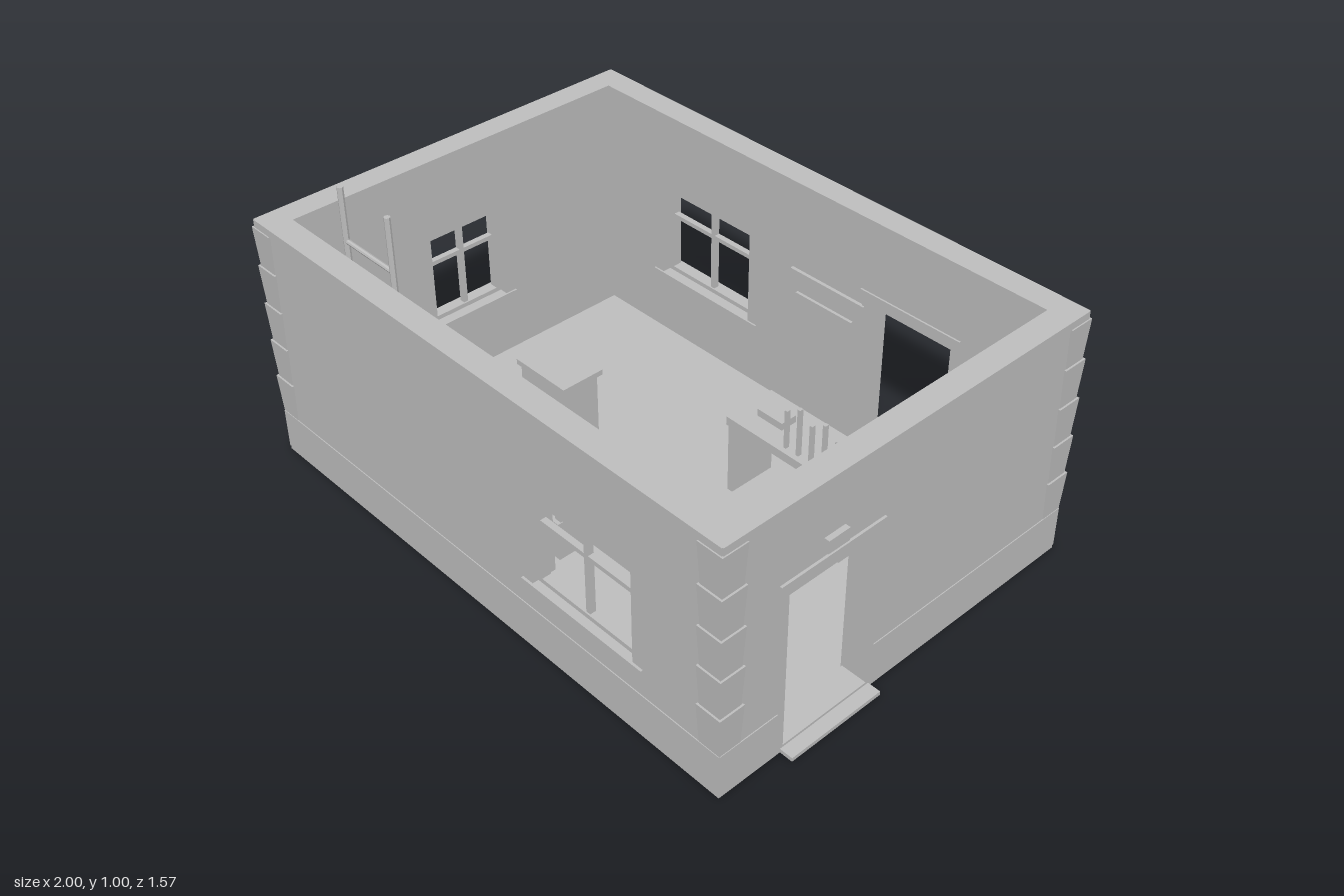
import * as THREE from 'three';

const grey = new THREE.MeshStandardMaterial({ color: 0xbfbfbf, flatShading: true });
grey.name = 'plain grey';

// Outer faces and wall sizes
const L = -0.99, R = 0.95, B = -0.60, F = 0.775, H = 0.85, T = 0.08;

function mesh(parent, name, geometry) {
  const m = new THREE.Mesh(geometry, grey);
  m.name = name;
  parent.add(m);
  return m;
}

// Box given by its two limits on each axis
function box(parent, name, x0, x1, y0, y1, z0, z1) {
  const m = mesh(parent, name, new THREE.BoxGeometry(x1 - x0, y1 - y0, z1 - z0));
  m.position.set((x0 + x1) / 2, (y0 + y1) / 2, (z0 + z1) / 2);
  return m;
}

// Square bar between two points
function bar(parent, name, a, b, t) {
  const p = new THREE.Vector3(...a), q = new THREE.Vector3(...b);
  const m = mesh(parent, name, new THREE.BoxGeometry(t, t, p.distanceTo(q)));
  m.position.copy(p).add(q).multiplyScalar(0.5);
  m.lookAt(q);
  return m;
}

// Wall panel in the XY plane with rectangular openings [u0, u1, v0, v1]
function wallGeometry(u0, u1, openings) {
  const s = new THREE.Shape();
  s.moveTo(u0, 0).lineTo(u1, 0).lineTo(u1, H).lineTo(u0, H).closePath();
  for (const [a, b, c, d] of openings) {
    const h = new THREE.Path();
    h.moveTo(a, c).lineTo(a, d).lineTo(b, d).lineTo(b, c).closePath();
    s.holes.push(h);
  }
  return new THREE.ExtrudeGeometry(s, { depth: T, bevelEnabled: false });
}

// Window: frame, cross bars and sills; local +z points out of the wall
function makeWindow(name, width) {
  const g = new THREE.Group(), w = width / 2, t = 0.017;
  g.name = name;
  box(g, 'frameSideA', -w, -w + t, 0.25, 0.575, -0.05, -0.02);
  box(g, 'frameSideB', w - t, w, 0.25, 0.575, -0.05, -0.02);
  box(g, 'frameTop', -w, w, 0.56, 0.575, -0.05, -0.02);
  box(g, 'frameBottom', -w, w, 0.25, 0.265, -0.05, -0.02);
  box(g, 'mullion', -0.008, 0.008, 0.25, 0.575, -0.045, -0.025);
  box(g, 'transom', -w, w, 0.455, 0.47, -0.045, -0.025);
  box(g, 'outerSill', -w - 0.04, w + 0.04, 0.225, 0.25, -0.02, 0.008);
  box(g, 'innerSill', -w - 0.04, w + 0.04, 0.225, 0.25, -T - 0.006, -0.05);
  return g;
}

// Doorway: jambs, header, threshold, step and a lamp above
function makeDoorway(name, stepDepth) {
  const g = new THREE.Group();
  g.name = name;
  for (const s of [-1, 1]) {
    const j = box(g, 'jamb', -0.01, 0.01, 0.025, 0.57, -T - 0.005, 0.006);
    j.position.x = s * 0.17;
  }
  box(g, 'header', -0.19, 0.19, 0.565, 0.605, -T - 0.006, 0.008);
  box(g, 'threshold', -0.17, 0.17, 0.02, 0.032, -T, 0.006);
  box(g, 'step', -0.17, 0.17, 0.011, 0.024, -0.02, stepDepth);
  box(g, 'lamp', -0.038, 0.038, 0.625, 0.667, 0, 0.017);
  return g;
}

function place(parent, g, x, z, turn) {
  g.position.set(x, 0, z);
  g.rotation.y = turn;
  parent.add(g);
}

export function createModel() {
  const model = new THREE.Group();
  model.name = 'openRoofBuilding';

  // Floor and the four walls with openings
  box(model, 'floor', L + 0.01, R - 0.01, 0, 0.025, B + 0.01, F - 0.01);
  mesh(model, 'frontWall', wallGeometry(L, R, [[0.23, 0.63, 0.25, 0.575]])).position.z = F - T;
  mesh(model, 'backWall', wallGeometry(L, R,
    [[-0.65, -0.25, 0.25, 0.575], [0.24, 0.58, 0.02, 0.57]])).position.z = B;
  const right = mesh(model, 'rightWall', wallGeometry(B + T, F - T, [[0.22, 0.56, 0.02, 0.57]]));
  const left = mesh(model, 'leftWall', wallGeometry(B + T, F - T, [[-0.05, 0.23, 0.25, 0.575]]));
  right.rotation.y = left.rotation.y = -Math.PI / 2;
  right.position.x = R;
  left.position.x = L + T;

  // Plinth strips, left open at the doorways
  const e = 0.003;
  box(model, 'plinthFront', L, R, 0.015, 0.155, F, F + e);
  box(model, 'plinthBackA', L, 0.24, 0.015, 0.155, B - e, B);
  box(model, 'plinthBackB', 0.58, R, 0.015, 0.155, B - e, B);
  box(model, 'plinthLeft', L - e, L, 0.015, 0.155, B, F);
  box(model, 'plinthRightA', R, R + e, 0.015, 0.155, B, 0.22);
  box(model, 'plinthRightB', R, R + e, 0.015, 0.155, 0.56, F);

  // Coping strips around the wall tops
  box(model, 'copingFront', L, R, 0.82, H, F, F + e);
  box(model, 'copingBack', L, R, 0.82, H, B - e, B);
  box(model, 'copingLeft', L - e, L, 0.82, H, B, F);
  box(model, 'copingRight', R, R + e, 0.82, H, B, F);

  // Flared corner stones
  for (const x of [L + 0.036, R - 0.036]) {
    for (const z of [B + 0.036, F - 0.036]) {
      for (let i = 0; i < 5; i++) {
        const q = mesh(model, 'cornerStone', new THREE.CylinderGeometry(
          0.043 * Math.SQRT2, 0.037 * Math.SQRT2, 0.134, 4).rotateY(Math.PI / 4));
        q.position.set(x, 0.222 + i * 0.134, z);
      }
    }
  }

  // Windows and doorways
  place(model, makeWindow('frontWindow', 0.4), 0.43, F, 0);
  place(model, makeWindow('backWindow', 0.4), -0.45, B, Math.PI);
  place(model, makeWindow('leftWindow', 0.28), L, 0.09, -Math.PI / 2);
  place(model, makeDoorway('rightDoorway', 0.05), R, 0.39, Math.PI / 2);
  place(model, makeDoorway('backDoorway', 0.035), 0.41, B, Math.PI);

  // Blank fascia board and awning on the back
  box(model, 'fasciaBoard', -0.48, 0.445, 0.69, 0.82, B - 0.012, B);
  bar(model, 'awning', [-0.45, 0.63, B], [-0.45, 0.585, -0.785], 0.006).scale.x = 0.78 / 0.006;
  box(model, 'awningValance', -0.84, -0.06, 0.54, 0.585, -0.788, -0.78);
  for (const x of [-0.82, -0.08]) bar(model, 'awningStrut', [x, 0.508, B], [x, 0.582, -0.78], 0.01);

  // Boards on the inner walls
  box(model, 'noticeBoard', -0.06, 0.24, 0.24, 0.55, B + T, B + T + 0.012);
  box(model, 'noticePanel', -0.025, 0.205, 0.26, 0.48, B + T + 0.012, B + T + 0.022);
  box(model, 'wallMap', -0.3, 0.065, 0.365, 0.612, F - T - 0.008, F - T);
  box(model, 'sideBoard', R - T - 0.014, R - T, 0.27, 0.57, -0.09, 0.21);
  box(model, 'sideBoardNote', R - T - 0.024, R - T - 0.014, 0.36, 0.48, -0.055, 0.04);

  // Slatted bench
  for (const [z0, z1] of [[0.37, 0.402], [0.415, 0.447], [0.46, 0.492]]) {
    box(model, 'benchSeatSlat', -0.11, 0.56, 0.16, 0.188, z0, z1);
  }
  for (const y of [0.228, 0.282]) box(model, 'benchBackSlat', -0.11, 0.56, y, y + 0.034, 0.496, 0.515);
  for (const x of [0, 0.45]) {
    box(model, 'benchLeg', x - 0.015, x + 0.015, 0.025, 0.16, 0.375, 0.51);
    box(model, 'benchBackPost', x - 0.012, x + 0.012, 0.16, 0.3, 0.485, 0.498);
  }

  // Lever table with instrument box and levers
  box(model, 'leverTableTop', 0.12, 0.58, 0.28, 0.31, -0.25, -0.06);
  for (const x of [0.12, 0.56]) box(model, 'leverTableSide', x, x + 0.02, 0.025, 0.28, -0.24, -0.07);
  box(model, 'instrumentBox', 0.18, 0.28, 0.31, 0.335, -0.19, -0.13);
  for (let i = 0; i < 5; i++) {
    const x = 0.342 + i * 0.049;
    box(model, 'lever', x - 0.005, x + 0.005, 0.31, i % 2 ? 0.475 : 0.445, -0.092, -0.078);
  }

  // Cabinet with overhanging top
  box(model, 'cabinetBody', -0.375, -0.195, 0.025, 0.42, 0.17, 0.31);
  box(model, 'cabinetTop', -0.39, -0.175, 0.42, 0.438, 0.165, 0.315);
  box(model, 'cabinetHandle', -0.33, -0.235, 0.3, 0.33, 0.157, 0.17);

  // Ladder against the front wall
  for (const x of [-0.75, -0.525]) {
    const rail = mesh(model, 'ladderRail', new THREE.CylinderGeometry(0.01, 0.01, 0.975, 8));
    rail.position.set(x, 0.5125, 0.622);
    box(model, 'ladderBracket', x - 0.005, x + 0.005, 0.7, 0.712, 0.622, F - T);
  }
  for (let i = 0; i < 8; i++) {
    const rung = mesh(model, 'ladderRung', new THREE.CylinderGeometry(0.008, 0.008, 0.225, 8).rotateZ(Math.PI / 2));
    rung.position.set(-0.6375, 0.12 + i * 0.1, 0.622);
  }
  return model;
}
